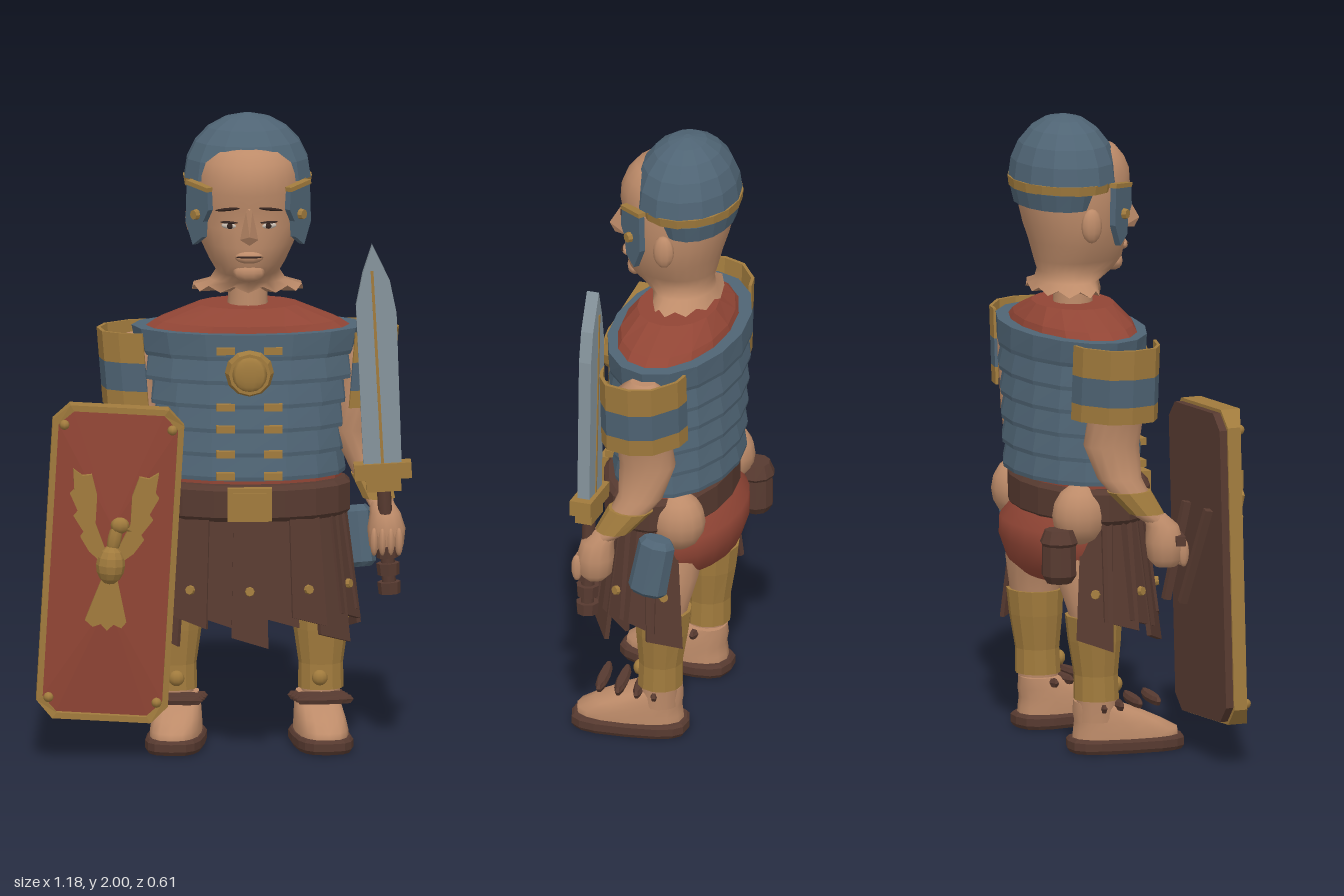
import * as THREE from 'three';
import { ConvexGeometry } from 'three/addons/geometries/ConvexGeometry.js';

const mat = (name, color) => Object.assign(new THREE.MeshStandardMaterial({ color }), { name });
const CX = 0.08; // middle of the body

// Closed body through horizontal ellipses, bottom to top: [y, cx, cz, rx, rzFront, rzBack]
function loft(rings, n = 16, smooth = false, pow = 1) {
  const pos = [], idx = [];
  const bend = v => Math.sign(v) * Math.abs(v) ** pow;
  const addRing = ([y, cx, cz, rx, rf, rb = rf]) => {
    for (let i = 0; i < n; i++) {
      const a = i / n * Math.PI * 2, c = bend(Math.cos(a));
      pos.push(cx + rx * bend(Math.sin(a)), y, cz + c * (c > 0 ? rf : rb));
    }
  };
  rings.forEach(addRing);
  for (let r = 0; r < rings.length - 1; r++) for (let i = 0; i < n; i++) {
    const a = r * n + i, b = r * n + (i + 1) % n;
    idx.push(a, b, b + n, a, b + n, a + n);
  }
  [rings[0], rings[rings.length - 1]].forEach((ring, top) => {
    const start = pos.length / 3;
    addRing(ring);
    pos.push(ring[1], ring[0], ring[2]);
    for (let i = 0; i < n; i++) {
      const a = start + i, b = start + (i + 1) % n;
      idx.push(start + n, top ? a : b, top ? b : a);
    }
  });
  let g = new THREE.BufferGeometry();
  g.setAttribute('position', new THREE.Float32BufferAttribute(pos, 3));
  g.setIndex(idx);
  if (!smooth) g = g.toNonIndexed();
  g.computeVertexNormals();
  return g;
}
const flat = g => { const f = g.index ? g.toNonIndexed() : g; f.computeVertexNormals(); return f; };
const toShape = pts => new THREE.Shape(pts.map(p => new THREE.Vector2(...p)));
const plate = (pts, depth, hole) => {
  const s = toShape(pts);
  if (hole) s.holes.push(toShape(hole));
  return new THREE.ExtrudeGeometry(s, { depth, bevelEnabled: false });
};
const hull = pts => new ConvexGeometry(pts.map(p => new THREE.Vector3(...p)));
const box = (x, y, z) => new THREE.BoxGeometry(x, y, z);
const ball = (x, y, z, n = 10) => new THREE.SphereGeometry(1, n, 8).scale(x, y, z);
const disc = (r, h, n = 12) => flat(new THREE.CylinderGeometry(r * 0.85, r, h, n).rotateX(Math.PI / 2));

export function createModel() {
  const skin = mat('skin', 0xbd8b69), steel = mat('blue steel', 0x4f6474), brass = mat('brass', 0xa17b3d),
    red = mat('red cloth', 0x914535), leather = mat('leather', 0x573a30), blade = mat('blade steel', 0x85939b),
    dark = mat('dark hair', 0x33231e), white = mat('eye white', 0xc9bdb0);
  const root = new THREE.Group();
  const add = (name, g, m, p = [0, 0, 0], r = [0, 0, 0], parent = root) => {
    const o = new THREE.Mesh(g, m);
    o.name = name; o.position.set(...p); o.rotation.set(...r); parent.add(o);
  };
  const group = (name, p, r, order = 'XYZ') => {
    const o = new THREE.Group();
    o.name = name; o.position.set(...p); o.rotation.set(...r, order); root.add(o);
    return o;
  };

  // Head with a ragged flared neck
  const head = loft([[1.44, CX, -0.1, 0.175, 0.08, 0.125], [1.475, CX, -0.1, 0.12, 0.09, 0.105], [1.505, CX, -0.1, 0.1, 0.15, 0.1],
    [1.54, CX, -0.09, 0.12, 0.165, 0.12], [1.6, CX, -0.09, 0.148, 0.175, 0.135], [1.66, CX, -0.09, 0.165, 0.172, 0.155],
    [1.72, CX, -0.09, 0.17, 0.175, 0.17], [1.77, CX, -0.09, 0.17, 0.188, 0.18], [1.82, CX, -0.09, 0.165, 0.185, 0.17],
    [1.86, CX, -0.09, 0.155, 0.168, 0.15], [1.895, CX, -0.09, 0.125, 0.14, 0.12], [1.915, CX, -0.09, 0.07, 0.09, 0.08]], 24, true);
  const hp = head.attributes.position;
  for (let i = 0; i < hp.count; i++) if (hp.getY(i) < 1.441 && i % 2) hp.setY(i, 1.46);
  add('head', head, skin);
  add('neck', loft([[1.36, CX, -0.085, 0.065, 0.065], [1.47, CX, -0.085, 0.06, 0.06]], 12, true), skin);
  add('nose', hull([[-0.012, 1.735, 0.07], [0.012, 1.735, 0.07], [0, 1.725, 0.098], [0, 1.648, 0.143], [-0.03, 1.628, 0.075],
    [0.03, 1.628, 0.075], [0, 1.618, 0.125]]), skin, [CX, 0, 0]);
  add('lips', ball(0.045, 0.02, 0.02), skin, [CX, 1.572, 0.076]);
  add('mouth', ball(0.042, 0.004, 0.01), dark, [CX, 1.575, 0.088]);
  add('chin', ball(0.05, 0.032, 0.03), skin, [CX, 1.52, 0.05]);
  for (const s of [-1, 1]) {
    add('eye', ball(0.026, 0.01, 0.01), white, [CX + s * 0.062, 1.672, 0.067], [0, s * 0.3, 0]);
    add('pupil', ball(0.01, 0.009, 0.006), dark, [CX + s * 0.06, 1.672, 0.075]);
    add('eyelid', ball(0.03, 0.004, 0.012), dark, [CX + s * 0.062, 1.683, 0.069], [0, s * 0.3, 0]);
    add('eyebrow', ball(0.042, 0.005, 0.01), dark, [CX + s * 0.068, 1.725, 0.073], [0, s * 0.4, -s * 0.15]);
    add('ear', ball(0.024, 0.055, 0.034), skin, [CX + s * 0.172, 1.67, -0.095]);
    // Cheek guard with brass edging and rivet
    const cheek = group('cheekGuard', [CX + s * 0.155, 1.7, 0.012], [0, s * 0.9, 0]);
    const outline = [[-0.05, 0.09], [0.05, 0.09], [0.055, -0.03], [0.02, -0.1], [-0.025, -0.07], [-0.03, -0.02], [-0.055, 0.02]]
      .map(([x, y]) => [s * x, y]);
    add('cheekPlate', plate(outline, 0.02), steel, [0, 0, -0.01], [0, 0, 0], cheek);
    add('cheekTrim', box(0.105, 0.014, 0.026), brass, [0, 0.09, 0], [0, 0, s * 0.12], cheek);
    add('cheekRivet', disc(0.018, 0.02, 8), brass, [0, 0, 0.015], [0, 0, 0], cheek);
  }

  // Helmet
  const dome = [];
  for (let i = 0; i <= 5; i++) {
    const t = i / 5 * 1.5, c = Math.cos(t);
    dome.push([1.8 + 0.2 * Math.sin(t), CX, -0.115, 0.203 * c, 0.165 * c, 0.17 * c]);
  }
  add('helmetDome', loft(dome, 14), steel);
  add('helmetBand', loft([[1.773, CX, -0.12, 0.2, 0.15, 0.165], [1.803, CX, -0.12, 0.205, 0.155, 0.168]], 18), brass);
  add('neckGuard', loft([[1.72, CX, -0.15, 0.18, 0.12, 0.117], [1.775, CX, -0.15, 0.195, 0.13, 0.13]], 18), steel);

  // Tunic and banded cuirass
  add('tunicShoulders', loft([[1.32, CX, -0.085, 0.335, 0.175], [1.35, CX, -0.085, 0.29, 0.165], [1.4, CX, -0.085, 0.16, 0.125]], 16), red);
  add('tunicWaist', loft([[0.8, CX, -0.08, 0.295, 0.17], [0.9, CX, -0.08, 0.295, 0.17]], 16), red);
  for (let i = 0; i < 6; i++) {
    const y = 1.33 - i * 0.077, rx = [0.365, 0.335, 0.315, 0.308, 0.302, 0.297][i], rz = 0.2 - i * 0.002;
    add('cuirassBand', loft([[y - 0.083, CX, -0.09, rx * (i ? 1.03 : 0.94), rz + 0.006], [y - 0.07, CX, -0.09, rx * (i ? 1.035 : 0.96), rz + 0.008],
      [y, CX, -0.09, rx, i ? rz - 0.008 : rz + 0.007]], 16), steel);
  }
  add('medallion', disc(0.077, 0.04), brass, [CX, 1.21, 0.125]);
  add('medallionBoss', ball(0.055, 0.055, 0.014), brass, [CX, 1.21, 0.145]);
  for (const y of [1.28, 1.1, 1.03, 0.95, 0.88]) for (const s of [-1, 1])
    add('clasp', box(0.058, 0.022, 0.03), brass, [CX + s * 0.075, y, 0.108]);

  // Belt, shorts and pouch
  add('belt', loft([[0.735, CX, -0.065, 0.31, 0.185], [0.75, CX, -0.065, 0.325, 0.2], [0.835, CX, -0.065, 0.325, 0.2], [0.85, CX, -0.065, 0.31, 0.185]], 18), leather);
  add('buckle', box(0.14, 0.105, 0.03), brass, [CX, 0.795, 0.138]);
  add('buckleFace', box(0.105, 0.075, 0.01), brass, [CX, 0.795, 0.155]);
  add('shorts', loft([[0.53, CX, -0.13, 0.17, 0.1], [0.57, CX, -0.13, 0.25, 0.145], [0.64, CX, -0.13, 0.285, 0.168],
    [0.7, CX, -0.13, 0.285, 0.165], [0.76, CX, -0.12, 0.26, 0.12]], 20, true), red);
  add('pouch', loft([[0.56, -0.19, -0.25, 0.04, 0.04], [0.585, -0.19, -0.25, 0.058, 0.055], [0.68, -0.19, -0.25, 0.056, 0.054],
    [0.69, -0.19, -0.25, 0.064, 0.06], [0.73, -0.19, -0.25, 0.045, 0.045]], 10), leather);

  // Skirt of hanging leather strips with studs
  for (let i = -6; i <= 6; i++) {
    const a = i * 0.315, even = i % 2 === 0, len = 0.325 + 0.03 * ((i * i + 8) % 3);
    const strip = group('skirtStrip', [CX + 0.285 * Math.sin(a), 0.755, -0.065 + (even ? 0.171 : 0.163) * Math.cos(a)],
      [-0.13, Math.atan2(Math.sin(a) / 0.315, Math.cos(a) / 0.175), 0], 'YXZ');
    add('strip', plate([[-0.05, 0], [-0.058, -len], [0.058, -len - 0.035], [0.05, 0]], 0.015), leather, [0, 0, 0], [0, 0, 0], strip);
    if (even) add('stud', disc(0.016, 0.014, 8), brass, [0, -0.24, 0.02], [0, 0, 0], strip);
  }

  for (const s of [-1, 1]) {
    const X = d => CX + s * d;
    // Legs, greaves and sandals
    add('hip', ball(0.08, 0.1, 0.09, 14), skin, [X(0.24), 0.765, -0.165]);
    add('leg', loft([[0.1, X(0.23), -0.1, 0.06, 0.065], [0.2, X(0.23), -0.105, 0.062, 0.064], [0.45, X(0.23), -0.115, 0.082, 0.08],
      [0.55, X(0.2), -0.12, 0.1, 0.1], [0.64, X(0.18), -0.12, 0.1, 0.1]], 14, true), skin);
    add('greave', loft([[0.17, X(0.23), -0.105, 0.072, 0.072], [0.25, X(0.23), -0.107, 0.07, 0.07], [0.36, X(0.23), -0.112, 0.086, 0.084],
      [0.44, X(0.23), -0.115, 0.092, 0.09]], 12), brass);
    add('greaveStud', ball(0.025, 0.025, 0.02), brass, [X(0.225), 0.21, -0.035]);
    const foot = group('foot', [X(0.227), 0, -0.005], [0, s * 0.13, 0]);
    add('sole', loft([[0, 0, 0, 0.085, 0.18], [0.012, 0, 0, 0.092, 0.188], [0.036, 0, 0, 0.092, 0.188], [0.045, 0, 0, 0.085, 0.18]], 16, false, 0.65),
      leather, [0, 0, 0], [0, 0, 0], foot);
    add('footSkin', loft([[0.04, 0, 0, 0.08, 0.172], [0.065, 0, 0, 0.08, 0.17], [0.095, 0, -0.02, 0.077, 0.135, 0.145],
      [0.125, 0, -0.05, 0.072, 0.1, 0.12], [0.16, 0, -0.1, 0.062, 0.055, 0.065]], 16, true, 0.8), skin, [0, 0, 0], [0, 0, 0], foot);
    [0.085, 0.025, -0.035, -0.09].forEach((z, i) =>
      add('ankleStrap', loft([[0, 0, 0, 0.085, 0.015], [0.014, 0, 0, 0.095, 0.02], [0.026, 0, 0, 0.085, 0.013]], 10), leather,
        [0, 0.148 - i * 0.005, z], [0, 0, 0], foot));

    // Arms, hands and wrist cuffs
    add('arm', loft([[0.765, X(0.42), 0.02, 0.04, 0.045], [0.8, X(0.405), -0.025, 0.048, 0.052], [0.9, X(0.365), -0.085, 0.058, 0.072],
      [1.0, X(0.325), -0.095, 0.066, 0.092], [1.1, X(0.35), -0.09, 0.072, 0.09], [1.2, X(0.365), -0.09, 0.074, 0.092],
      [1.27, X(0.36), -0.09, 0.07, 0.08], [1.3, X(0.355), -0.09, 0.03, 0.04]], 14, true), skin);
    add('hand', loft([[0.62, X(0.432), 0.045, 0.032, 0.035], [0.645, X(0.432), 0.042, 0.054, 0.055], [0.7, X(0.432), 0.04, 0.06, 0.06],
      [0.75, X(0.428), 0.035, 0.048, 0.052], [0.785, X(0.415), 0.01, 0.036, 0.04]], 12, true), skin);
    for (let i = 0; i < 4; i++) add('finger', ball(0.013, 0.045, 0.018, 8), skin, [X(0.392 + i * 0.026), 0.665, 0.09]);
    add('wristCuff', loft([[0.79, X(0.41), -0.012, 0.053, 0.058], [0.86, X(0.383), -0.06, 0.062, 0.073]], 10), brass);
    // Banded shoulder guard, leaning in toward the elbow
    const arc = [[0.315, -0.22], [0.37, -0.21], [0.45, -0.15], [0.475, -0.08], [0.46, 0], [0.41, 0.035], [0.335, 0.055]];
    const shell = [...arc.map(([x, z]) => [X(x), -z]),
      ...arc.map(([x, z]) => [X(0.3 + (x - 0.3) * 0.93), -(-0.08 + (z + 0.08) * 0.93)]).reverse()];
    [[1.085, 1.14, brass], [1.14, 1.23, steel], [1.23, 1.325, brass]].forEach(([a, b, m]) => {
      const g = plate(shell, b - a).rotateX(-Math.PI / 2), p = g.attributes.position;
      for (let i = 0; i < p.count; i++) p.setX(i, p.getX(i) - s * (1.325 - p.getY(i) - a) * 0.08);
      add('shoulderGuard', flat(g), m, [0, a, 0]);
    });
  }

  // Dagger sheath at the left hip
  add('sheath', loft([[-0.1, 0, 0, 0.03, 0.05], [-0.085, 0, 0, 0.047, 0.064], [0.075, 0, 0, 0.047, 0.06], [0.095, 0, 0, 0.03, 0.045]], 8), steel,
    [0.43, 0.65, -0.12], [-0.17, 0, 0.08]);

  // Sword
  const sword = group('sword', [0.5, 0.89, 0.065], [0, 0, 0.054]);
  const edge = [[-0.06, 0.02], [0.06, 0.02], [0.07, 0.5], [0.055, 0.6], [0.005, 0.72], [-0.03, 0.63], [-0.056, 0.53]];
  add('blade', plate(edge, 0.04), blade, [0, 0, -0.02], [0, 0, 0], sword);
  add('bladeRib', box(0.009, 0.62, 0.046), brass, [0, 0.33, 0], [0, 0, 0], sword);
  add('guard', box(0.18, 0.05, 0.07), brass, [0, 0, 0], [0, 0, 0], sword);
  add('guardCollar', box(0.11, 0.05, 0.055), brass, [0, -0.04, 0], [0, 0, 0], sword);
  add('gripCore', new THREE.CylinderGeometry(0.022, 0.022, 0.34, 8), leather, [0, -0.2, 0], [0, 0, 0], sword);
  for (const y of [-0.26, -0.315, -0.375]) add('gripRing', flat(new THREE.CylinderGeometry(0.037, 0.034, 0.038, 8)), leather, [0, y, 0], [0, 0, 0], sword);

  // Shield, built about its own centre
  const shield = group('shield', [-0.36, 0.625, 0.15], [0, 0, -0.058]);
  const sAdd = (name, g, m, p, r) => add(name, g, m, p, r, shield);
  const oct = (w, h, c) => [[w - c, -h], [w, -h + c], [w, h - c], [w - c, h], [c - w, h], [-w, h - c], [-w, c - h], [c - w, -h]];
  sAdd('shieldBack', plate(oct(0.2, 0.49, 0.05), 0.035), leather);
  const rim = plate(oct(0.207, 0.5, 0.052), 0.065, oct(0.188, 0.481, 0.046)), rp = rim.attributes.position;
  for (let i = 0; i < rp.count; i++) // sides curve back
    if (rp.getZ(i) > 0.03) rp.setZ(i, rp.getZ(i) - 0.4 * Math.max(0, Math.abs(rp.getX(i)) - 0.155));
  sAdd('shieldRim', flat(rim), brass, [0, 0, 0.025]);
  sAdd('shieldFace', hull([...oct(0.19, 0.483, 0.046).flatMap(([x, y]) => [[x, y, 0.02], [x, y, 0.062]]), [0, 0.12, 0.092], [0, -0.12, 0.092]]), red);
  for (const x of [-1, 1]) for (const y of [-1, 1]) sAdd('shieldStud', ball(0.016, 0.016, 0.018, 8), brass, [x * 0.17, y * 0.435, 0.08]);
  // Bird relief
  for (const s of [-1, 1]) sAdd('birdWing', plate([[0.02, 0], [0.07, 0.04], [0.1, 0.085], [0.09, 0.1], [0.125, 0.15], [0.112, 0.165],
    [0.14, 0.22], [0.128, 0.235], [0.135, 0.3], [0.105, 0.28], [0.075, 0.285], [0.055, 0.22], [0.055, 0.13], [0.02, 0.05]]
    .map(([x, y]) => [s * x, y]), 0.022), brass, [0, 0, 0.085]);
  sAdd('birdTail', plate([[-0.02, -0.03], [-0.07, -0.18], [-0.045, -0.2], [-0.02, -0.19], [0, -0.21], [0.02, -0.19], [0.045, -0.2], [0.06, -0.18], [0.02, -0.03]], 0.018), brass, [0, 0, 0.084]);
  sAdd('birdBody', flat(ball(0.046, 0.062, 0.05)), brass, [0, 0, 0.1]);
  sAdd('birdNeck', ball(0.022, 0.055, 0.02, 8), brass, [0.008, 0.085, 0.1], [0, 0, -0.15]);
  sAdd('birdHead', ball(0.03, 0.026, 0.02, 8), brass, [0.022, 0.128, 0.105]);
  sAdd('birdBeak', new THREE.ConeGeometry(0.01, 0.03, 6), brass, [0.052, 0.115, 0.105], [0, 0, -2]);
  // Grips behind the shield
  for (const [x, lean] of [[0.05, 0.15], [-0.1, 0.3]])
    sAdd('shieldGrip', box(0.024, 0.32, 0.024), leather, [x, 0.035, -0.05], [0.18, 0, lean]);
  sAdd('shieldHandle', box(0.17, 0.03, 0.03), leather, [0.01, 0.08, -0.06], [0, -0.3, 0]);
  return root;
}
